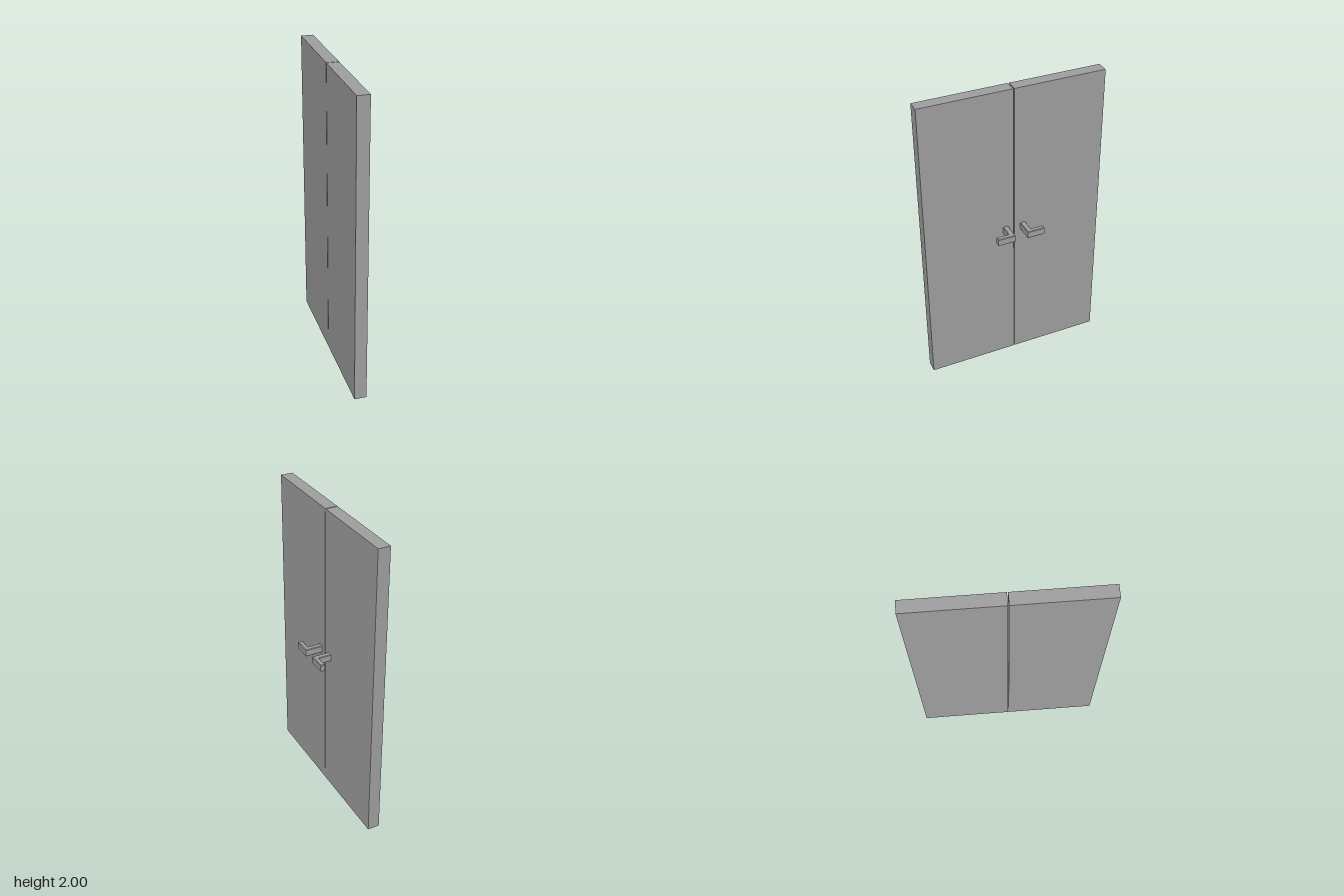
import * as THREE from 'three';

export function createModel() {
  const group = new THREE.Group();
  const material = new THREE.MeshStandardMaterial({ color: 0x9e9e9e, flatShading: true });
  const halfGap = 0.003;
  const bevel = 0.004;

  for (const side of [1, -1]) {
    const prefix = side > 0 ? 'front' : 'back';

    // Door leaf, leaving a narrow gap at the middle
    const width = 0.6 - halfGap;
    const leaf = new THREE.Mesh(new THREE.BoxGeometry(0.079, 2, width), material);
    leaf.name = prefix + 'DoorLeaf';
    leaf.position.set(-0.0575, 1, side * (halfGap + width / 2));
    group.add(leaf);

    // L-shaped lever handle with chamfered edges, its root set into the leaf
    const outline = [
      [-0.03, 0.042], [0.097, 0.042], [0.097, 0.159],
      [0.066, 0.159], [0.066, 0.077], [-0.03, 0.077],
    ].map(([x, z]) => new THREE.Vector2(x, side * z));
    const geometry = new THREE.ExtrudeGeometry(new THREE.Shape(outline), {
      depth: 0.049 - 2 * bevel,
      bevelThickness: bevel,
      bevelSize: bevel,
      bevelOffset: -bevel,
      bevelSegments: 1,
    });
    geometry.rotateX(Math.PI / 2);
    const handle = new THREE.Mesh(geometry, material);
    handle.name = prefix + 'Handle';
    handle.position.y = 1.043 - bevel;
    group.add(handle);
  }
  return group;
}
